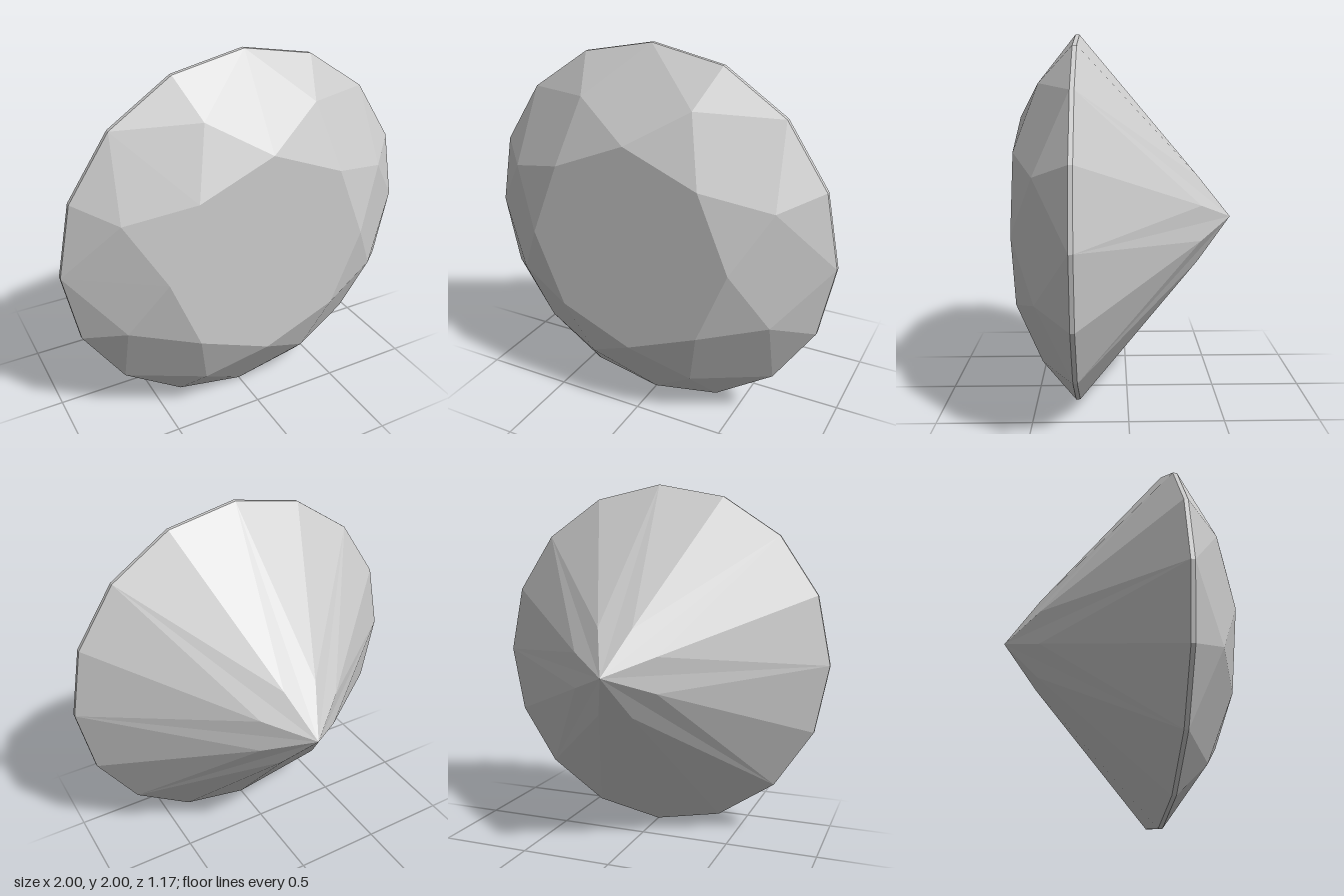
import * as THREE from 'three';

const SIDES = 8;
const STEP = Math.PI / SIDES; // 22.5 degrees, half a facet

// Point on a ring around the z axis; i counts half facets, 0 is at the top
const at = (r, z) => (i) => new THREE.Vector3(
  r * Math.cos(Math.PI / 2 + i * STEP), 1 + r * Math.sin(Math.PI / 2 + i * STEP), z);

// Rings of corners from the front table to the rear point
const tableRing = at(0.56, 0.583);
const starRing = at(0.8, 0.458);
const girdleFront = at(1, 0.278);
const girdleBack = at(1, 0.256);
const lowerRing = at(0.25, -0.395);
const culet = new THREE.Vector3(0, 1, -0.583);

// Flat facets: each polygon is a counter-clockwise list of corners, fanned into triangles
function facets(name, polygons, material) {
  const points = [];
  for (const p of polygons) {
    for (let i = 1; i < p.length - 1; i++) points.push(p[0], p[i], p[i + 1]);
  }
  const geometry = new THREE.BufferGeometry().setFromPoints(points);
  geometry.computeVertexNormals();
  const mesh = new THREE.Mesh(geometry, material);
  mesh.name = name;
  return mesh;
}

export function createModel() {
  const crystal = new THREE.MeshStandardMaterial({ color: 0xcccccc });
  crystal.name = 'crystal grey';

  const table = [], stars = [], kites = [], upper = [], girdle = [], mains = [], lower = [];
  for (let k = 0; k < SIDES; k++) {
    const i = 2 * k; // even spokes carry kites, odd spokes carry star points
    table.push(tableRing(i));
    stars.push([tableRing(i), starRing(i + 1), tableRing(i + 2)]);
    kites.push([tableRing(i), starRing(i - 1), girdleFront(i), starRing(i + 1)]);
    upper.push(
      [starRing(i + 1), girdleFront(i), girdleFront(i + 1)],
      [starRing(i + 1), girdleFront(i + 1), girdleFront(i + 2)]);
    for (const j of [i, i + 1]) {
      girdle.push([girdleFront(j), girdleBack(j), girdleBack(j + 1), girdleFront(j + 1)]);
    }
    mains.push([girdleBack(i), lowerRing(i - 1), culet, lowerRing(i + 1)]);
    lower.push(
      [lowerRing(i + 1), girdleBack(i + 1), girdleBack(i)],
      [lowerRing(i + 1), girdleBack(i + 2), girdleBack(i + 1)]);
  }

  const gem = new THREE.Group();
  gem.name = 'gem';
  gem.add(
    facets('table', [table], crystal),
    facets('starFacets', stars, crystal),
    facets('crownKites', kites, crystal),
    facets('upperGirdleFacets', upper, crystal),
    facets('girdle', girdle, crystal),
    facets('pavilionMains', mains, crystal),
    facets('lowerGirdleFacets', lower, crystal));
  return gem;
}
